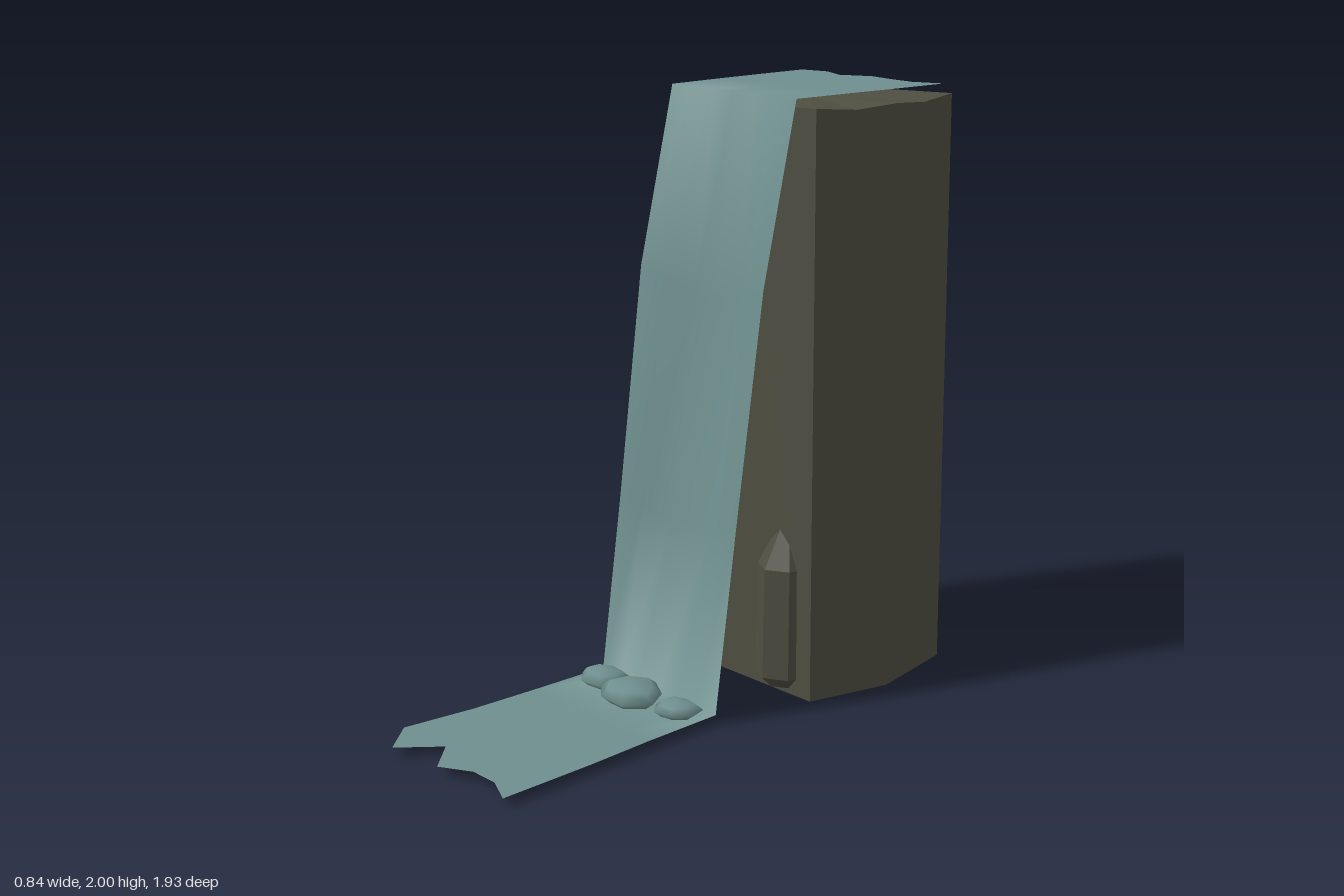
import * as THREE from 'three';
import { mergeVertices } from 'three/addons/utils/BufferGeometryUtils.js';

function meshFrom(points, index, flat) {
  let geo = new THREE.BufferGeometry();
  geo.setAttribute('position', new THREE.Float32BufferAttribute(points, 3));
  geo.setIndex(index);
  if (flat) geo = geo.toNonIndexed();
  geo.computeVertexNormals();
  return geo;
}

// Hexagonal cliff, open underneath, top edges sagging between the corners
function cliffGeometry() {
  const corners = [[0.42, -0.63], [0.35, -0.33], [-0.35, -0.33], [-0.42, -0.63], [-0.35, -0.97], [0.35, -0.97]];
  const pts = [], idx = [], n = 12;
  for (const top of [false, true]) {
    for (let i = 0; i < n; i++) {
      const a = corners[i >> 1], b = corners[((i >> 1) + i % 2) % 6];
      const x = (a[0] + b[0]) / 2, z = (a[1] + b[1]) / 2;
      pts.push(top ? x * 0.95 : x, top ? (i % 2 ? 1.958 : 1.97) : 0, z);
    }
  }
  pts.push(0, 1.96, -0.63);
  for (let i = 0; i < n; i++) {
    const j = (i + 1) % n;
    idx.push(i, n + i, n + j, i, n + j, j, 2 * n, n + j, n + i);
  }
  return meshFrom(pts, idx, true);
}

// One smooth sheet: upper stream, falling water with a recessed middle, lower stream
function waterGeometry() {
  const backEnd = [-0.93, -0.95, -0.9, -0.95, -0.93, -0.92, -0.96];
  const frontEnd = [0.84, 0.96, 0.83, 0.94, 0.88, 0.88, 0.93];
  const bulge = [0.03, 0.01, -0.035, -0.03, -0.035, 0.01, 0.03];
  // left edge x, right edge x, height, z, amount of bulge
  const rows = [
    [-0.32, 0.305, 2, backEnd, 0],
    [-0.315, 0.3, 2, -0.74, 0],
    [-0.305, 0.29, 2, -0.51, 0],
    [-0.29, 0.285, 2, -0.29, 0],
    [-0.295, 0.285, 1.38, -0.185, 1],
    [-0.272, 0.29, 0.62, -0.07, 1],
    [-0.288, 0.275, 0.03, 0.03, 0],
    [-0.29, 0.285, 0.03, 0.33, 0],
    [-0.295, 0.3, 0.03, 0.58, 0],
    [-0.32, 0.31, 0.03, frontEnd, 0],
  ];
  const pts = [], idx = [], n = 7;
  rows.forEach(([l, r, y, z, k], row) => {
    for (let c = 0; c < n; c++) {
      pts.push(l + (r - l) * c / (n - 1), y + k * bulge[c], (Array.isArray(z) ? z[c] : z) + k * bulge[c]);
      if (row && c) {
        const d = row * n + c, b = d - n;
        idx.push(b - 1, d - 1, b, b, d - 1, d);
      }
    }
  });
  return meshFrom(pts, idx, false);
}

// Faceted upright boulder, unit radius, given height
function boulderGeometry(height) {
  const profile = [[0, 0.02], [0.65, 0.02], [1, 0.06], [0.95, height * 0.76], [0.2, height * 1.03], [0, height * 1.05]];
  const geo = new THREE.LatheGeometry(profile.map(p => new THREE.Vector2(...p)), 7).toNonIndexed();
  geo.computeVertexNormals();
  return geo;
}

// Rounded splash stone with an uneven outline
function stoneGeometry() {
  let geo = new THREE.SphereGeometry(1, 7, 4);
  geo.deleteAttribute('uv');
  geo.deleteAttribute('normal');
  geo = mergeVertices(geo, 1e-3);
  const p = geo.attributes.position;
  for (let i = 0; i < p.count; i++) {
    const k = 1 + 0.1 * Math.sin(i * 2.7);
    p.setXYZ(i, p.getX(i) * k, Math.max(p.getY(i), -0.7), p.getZ(i) * k);
  }
  geo.computeVertexNormals();
  return geo;
}

export function createModel() {
  const model = new THREE.Group();
  model.name = 'waterfall';
  const rock = new THREE.MeshStandardMaterial({ color: 0x4e4e41, side: THREE.DoubleSide });
  rock.name = 'mossy rock';
  const water = new THREE.MeshStandardMaterial({ color: 0x6e8f8e, side: THREE.DoubleSide });
  water.name = 'water';

  const add = (name, geo, mat) => {
    const mesh = new THREE.Mesh(geo, mat);
    mesh.name = name;
    model.add(mesh);
    return mesh;
  };

  add('cliff', cliffGeometry(), rock);
  add('waterSheet', waterGeometry(), water);

  // Boulders half sunk in the front of the cliff
  for (const [x, height] of [[-0.19, 0.72], [0.2, 0.58]]) {
    const boulder = add('baseBoulder', boulderGeometry(height), rock);
    boulder.position.set(x, 0, -0.37);
    boulder.scale.set(0.1, 1, 0.115);
  }

  // Splash stones where the water lands
  for (const [x, y, z, rx, ry, rz, turn] of [
    [-0.18, 0.053, 0.12, 0.09, 0.03, 0.078, 0.4],
    [0, 0.06, 0.155, 0.118, 0.038, 0.11, 1.2],
    [0.185, 0.05, 0.12, 0.082, 0.027, 0.077, 2.1],
  ]) {
    const stone = add('splashStone', stoneGeometry().rotateY(turn), water);
    stone.position.set(x, y, z);
    stone.scale.set(rx, ry, rz);
  }
  return model;
}
